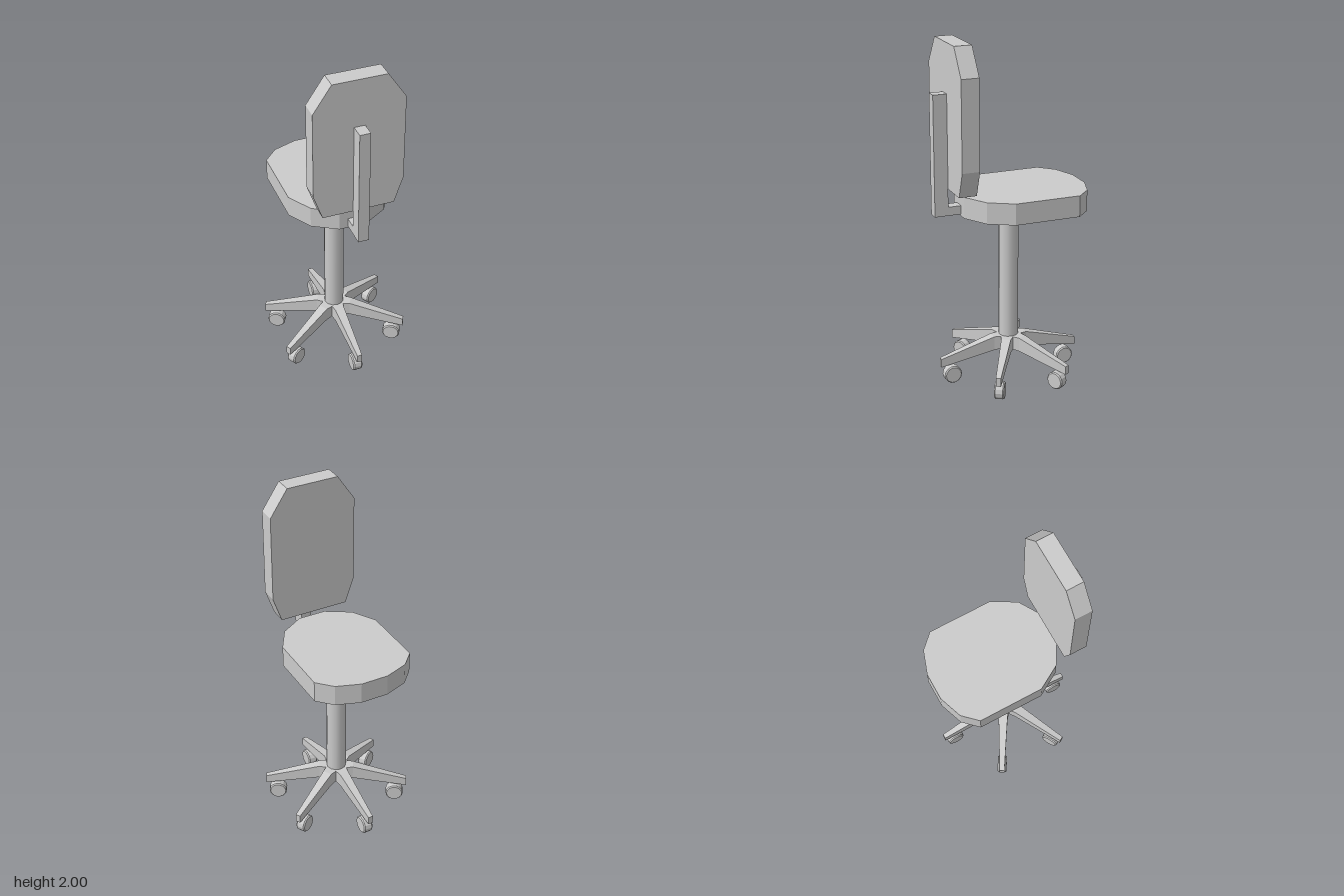
import * as THREE from 'three';

const material = new THREE.MeshStandardMaterial({ color: 0xcccccc, flatShading: true });
const smooth = new THREE.MeshStandardMaterial({ color: 0xcccccc });
const AXIS_Z = -0.007; // column and base centre
const LEGS = 6;

function part(name, geometry, x = 0, y = 0, z = 0, mat = material) {
  const mesh = new THREE.Mesh(geometry, mat);
  mesh.name = name;
  mesh.position.set(x, y, z);
  return mesh;
}

// Slab with an outline mirrored across x = 0, given as its +x half
function slab(half, depth) {
  const mirrored = half.map(([x, y]) => [-x, y]).reverse();
  const shape = new THREE.Shape([...half, ...mirrored].map(([x, y]) => new THREE.Vector2(x, y)));
  return new THREE.ExtrudeGeometry(shape, { depth, bevelEnabled: false });
}

// Tapered, sloping leg pointing along +z
function legGeometry() {
  const stations = [
    { r: 0.06, half: 0.035, bottom: 0.172, top: 0.25 },
    { r: 0.1, half: 0.028, bottom: 0.167, top: 0.25 },
    { r: 0.422, half: 0.0145, bottom: 0.107, top: 0.157 },
  ];
  const geometry = new THREE.BoxGeometry(2, 1, 2, 1, 1, 2);
  const p = geometry.attributes.position;
  for (let i = 0; i < p.count; i++) {
    const s = stations[Math.round(p.getZ(i)) + 1];
    p.setXYZ(i, p.getX(i) * s.half, p.getY(i) > 0 ? s.top : s.bottom, s.r);
  }
  geometry.computeVertexNormals();
  return geometry;
}

// Wheel with slightly bevelled rims, rolling along z
function wheelGeometry() {
  const profile = [[0, -0.028], [0.046, -0.028], [0.052, -0.021], [0.052, 0.021], [0.046, 0.028], [0, 0.028]];
  return new THREE.LatheGeometry(profile.map(([r, y]) => new THREE.Vector2(r, y)), 14).rotateZ(Math.PI / 2);
}

export function createModel() {
  const chair = new THREE.Group();
  chair.name = 'swivelChair';

  // Seat
  const seat = slab([[0.08, -0.443], [0.217, -0.395], [0.297, -0.312],
    [0.297, 0.07], [0.217, 0.208], [0.08, 0.29]], 0.123);
  chair.add(part('seat', seat.rotateX(Math.PI / 2), 0, 1.143, 0));

  // Backrest
  const back = slab([[0.205, 1.185], [0.257, 1.335], [0.257, 1.845], [0.153, 2]], 0.102);
  chair.add(part('backrest', back, 0, 0, 0.262));

  // L-shaped back support: profile in z and y, extruded across x
  const profile = new THREE.Shape([[0.26, 1.03], [0.443, 1.03], [0.443, 1.72],
    [0.364, 1.72], [0.364, 1.08], [0.26, 1.08]].map(([z, y]) => new THREE.Vector2(-z, y)));
  const support = new THREE.ExtrudeGeometry(profile, { depth: 0.062, bevelEnabled: false });
  chair.add(part('backSupport', support.rotateY(Math.PI / 2), -0.031, 0, 0));

  // Column
  chair.add(part('column', new THREE.CylinderGeometry(0.057, 0.057, 0.84, 12), 0, 0.62, AXIS_Z, smooth));

  // Star base with casters
  const base = new THREE.Group();
  base.name = 'base';
  base.position.z = AXIS_Z;
  const hub = new THREE.CylinderGeometry(0.07, 0.07, 0.078, LEGS).rotateY(Math.PI / LEGS);
  base.add(part('hub', hub, 0, 0.211, 0));
  const leg = legGeometry();
  const wheel = wheelGeometry();
  for (let i = 0; i < LEGS; i++) {
    const arm = new THREE.Group();
    arm.name = 'legWithCaster';
    arm.rotation.y = (i * Math.PI * 2) / LEGS;
    arm.add(part('leg', leg), part('caster', wheel, 0, 0.052, 0.352));
    base.add(arm);
  }
  chair.add(base);
  return chair;
}
